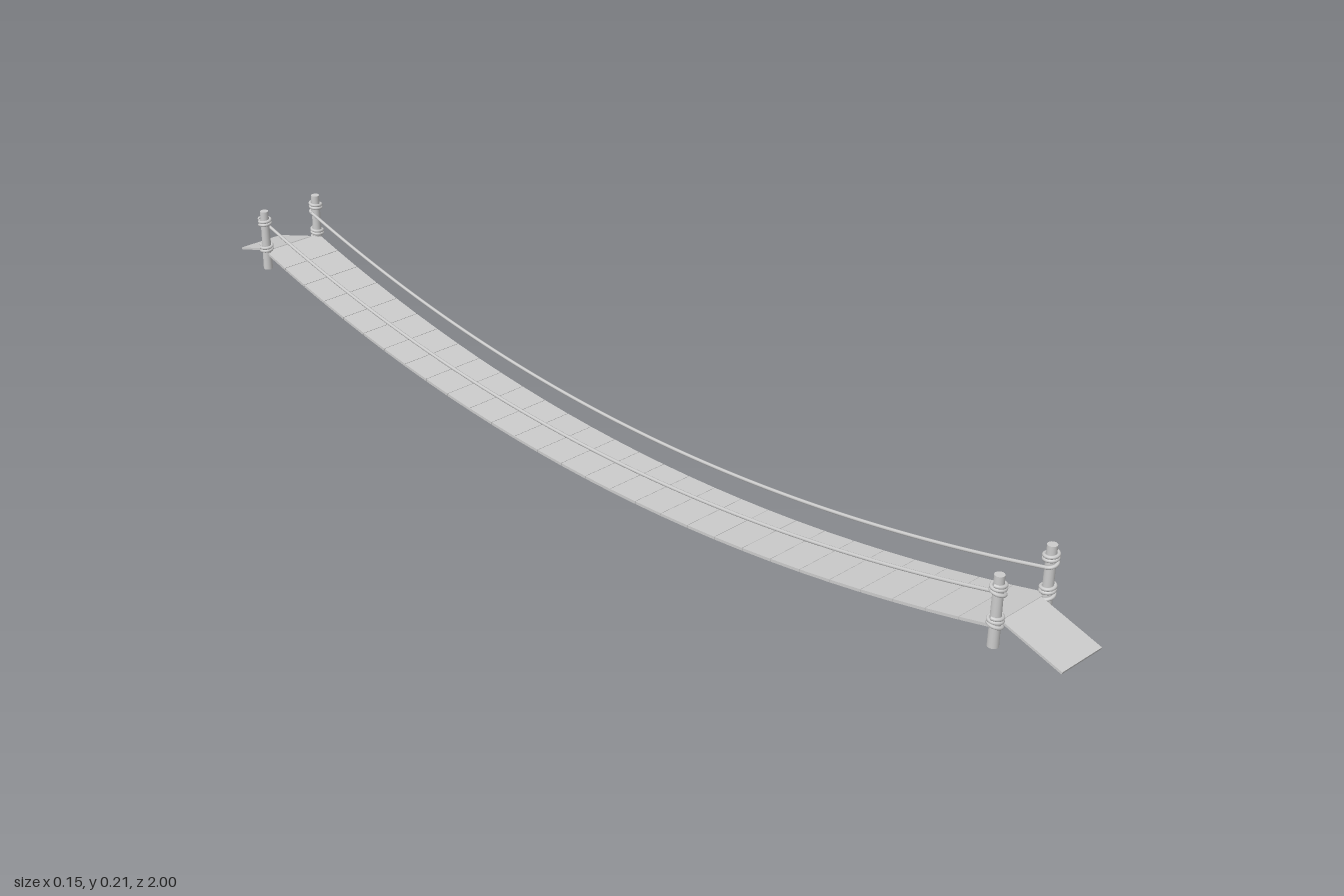
import * as THREE from 'three';

const END = 0.89;      // z of the posts
const POST_X = 0.06;
const ROPE_X = 0.05;
const SAG = 0.117;
const ROPE_R = 0.003;
const PLANKS = 29;

const mat = new THREE.MeshStandardMaterial({ color: 0xcccccc });

function add(parent, name, geometry) {
  const mesh = new THREE.Mesh(geometry, mat);
  mesh.name = name;
  parent.add(mesh);
  return mesh;
}

// Height of the hanging curve above its lowest point
const sagAt = (z) => SAG * (z / END) ** 2;

// Rope hanging between two posts
function hangingRope(x, low) {
  const pts = [];
  for (let i = 0; i <= 24; i++) {
    const z = -END + (2 * END * i) / 24;
    pts.push(new THREE.Vector3(x, low + sagAt(z), z));
  }
  return new THREE.TubeGeometry(new THREE.CatmullRomCurve3(pts), 72, ROPE_R, 8);
}

// Two tight turns round a post, then a slanting half turn down to the rope end
function coil(sx, sz, endY) {
  const pts = [];
  const r = POST_X - ROPE_X + 0.0005;
  for (let i = 0; i <= 40; i++) {
    const turn = i / 16;
    const a = Math.PI * 2 * (2.5 - turn);
    const y = endY + 0.021 - 0.006 * Math.min(turn, 2) - 0.018 * Math.max(turn - 2, 0);
    pts.push(new THREE.Vector3(
      sx * (POST_X - r * Math.cos(a)), y, sz * (END + r * Math.sin(a))));
  }
  return new THREE.TubeGeometry(new THREE.CatmullRomCurve3(pts), 60, ROPE_R, 8);
}

export function createModel() {
  const model = new THREE.Group();
  model.name = 'ropeBridge';

  // Planks following the sag
  const deck = new THREE.Group();
  deck.name = 'deck';
  model.add(deck);
  const pitch = (2 * END) / PLANKS;
  for (let i = 0; i < PLANKS; i++) {
    const z = -END + pitch * (i + 0.5);
    const slope = Math.atan((2 * SAG * z) / END ** 2);
    const plank = add(deck, 'plank',
      new THREE.BoxGeometry(0.125, 0.005, pitch / Math.cos(slope) - 0.001));
    plank.position.set(0, 0.0095 + sagAt(z), z);
    plank.rotation.x = -slope;
  }

  // Ropes: handrails and deck supports
  for (const sx of [-1, 1]) {
    add(model, 'handrailRope', hangingRope(sx * ROPE_X, 0.06));
    add(model, 'deckRope', hangingRope(sx * ROPE_X, ROPE_R));
  }

  for (const sz of [-1, 1]) {
    // Posts with rope lashings
    for (const sx of [-1, 1]) {
      const post = add(model, 'post', new THREE.CylinderGeometry(0.008, 0.009, 0.119, 16));
      post.position.set(sx * POST_X, 0.1525, sz * END);
      add(model, 'handrailLashing', coil(sx, sz, 0.06 + SAG));
      add(model, 'deckLashing', coil(sx, sz, ROPE_R + SAG + 0.003));
    }

    // Sloping ramp down to the ground at each end
    const run = 0.11, drop = 0.033;
    const ramp = add(model, 'ramp',
      new THREE.BoxGeometry(0.092, 0.004, Math.hypot(run, drop)));
    ramp.position.set(0, 0.111, sz * (END + run / 2));
    ramp.rotation.x = sz * Math.atan2(drop, run);
  }

  return model;
}
